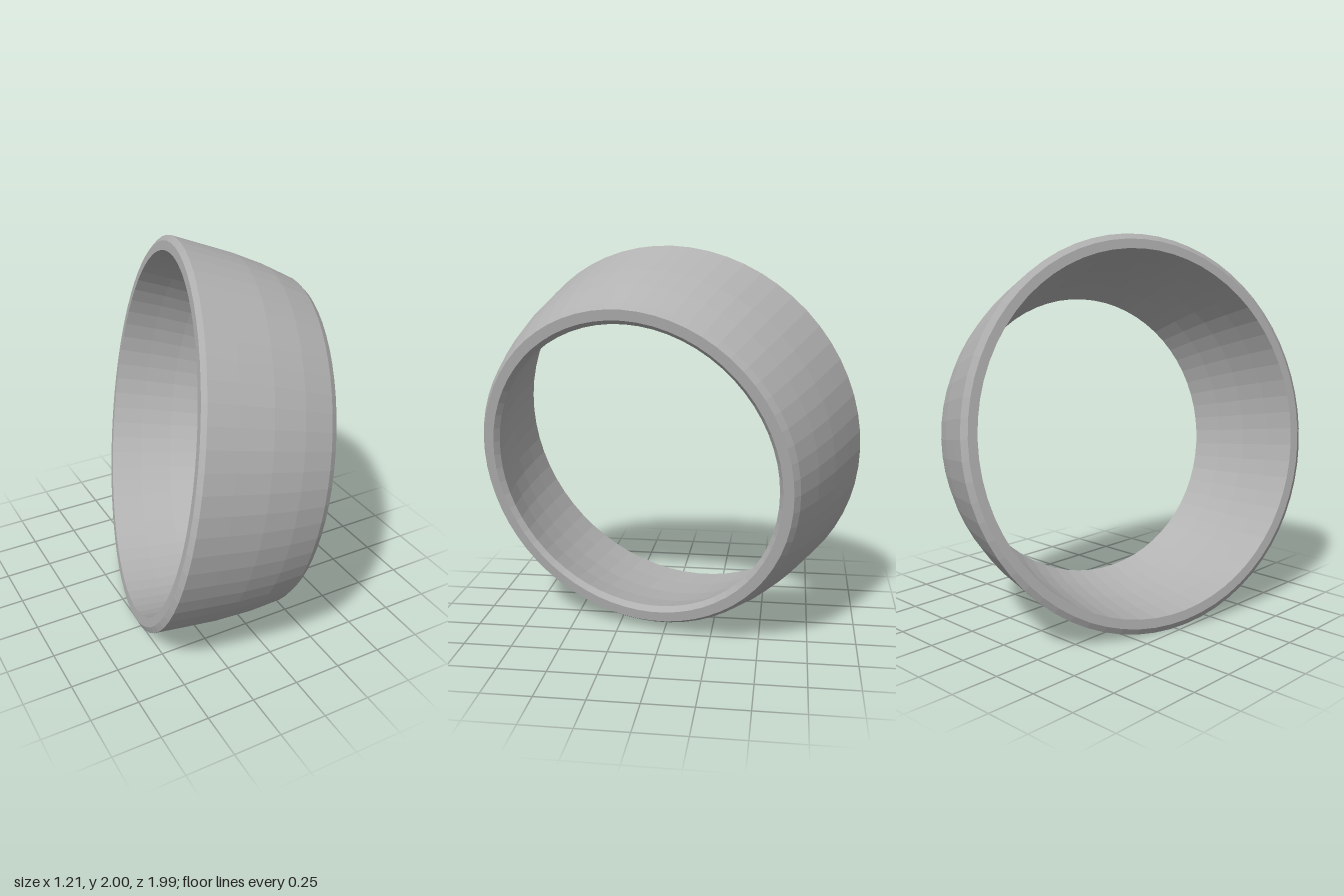
import * as THREE from 'three';

export function createModel() {
  const group = new THREE.Group();
  group.name = 'taperedRing';

  const grey = new THREE.MeshStandardMaterial({ color: 0xb2b2b2, flatShading: true });
  grey.name = 'satin grey';

  // Closed wall section as [radius, distance along the axis]
  const section = [
    [0.937, -0.012], [0.985, -0.012],                   // wide end face
    [1.014, 0.008],                                     // wide outer bevel
    [0.988, 0.16], [0.958, 0.33], [0.918, 0.49], [0.867, 0.64], // bulged outer wall
    [0.843, 0.67], [0.79, 0.67],                        // narrow end face
    [0.766, 0.645],                                     // narrow inner bevel
    [0.825, 0.49], [0.872, 0.33], [0.908, 0.16], [0.937, -0.012], // bore
  ].map(([r, t]) => new THREE.Vector2(r, t));

  const ring = new THREE.Mesh(new THREE.LatheGeometry(section, 64), grey);
  ring.name = 'ringBand';

  // Tilt the ring: the narrow end faces left, slightly down and forward
  const axis = new THREE.Vector3(0.952, -0.169, 0.255).normalize();
  ring.quaternion.setFromUnitVectors(new THREE.Vector3(0, 1, 0), axis);
  ring.position.set(-0.296, 1.001, -0.019);
  group.add(ring);

  return group;
}
